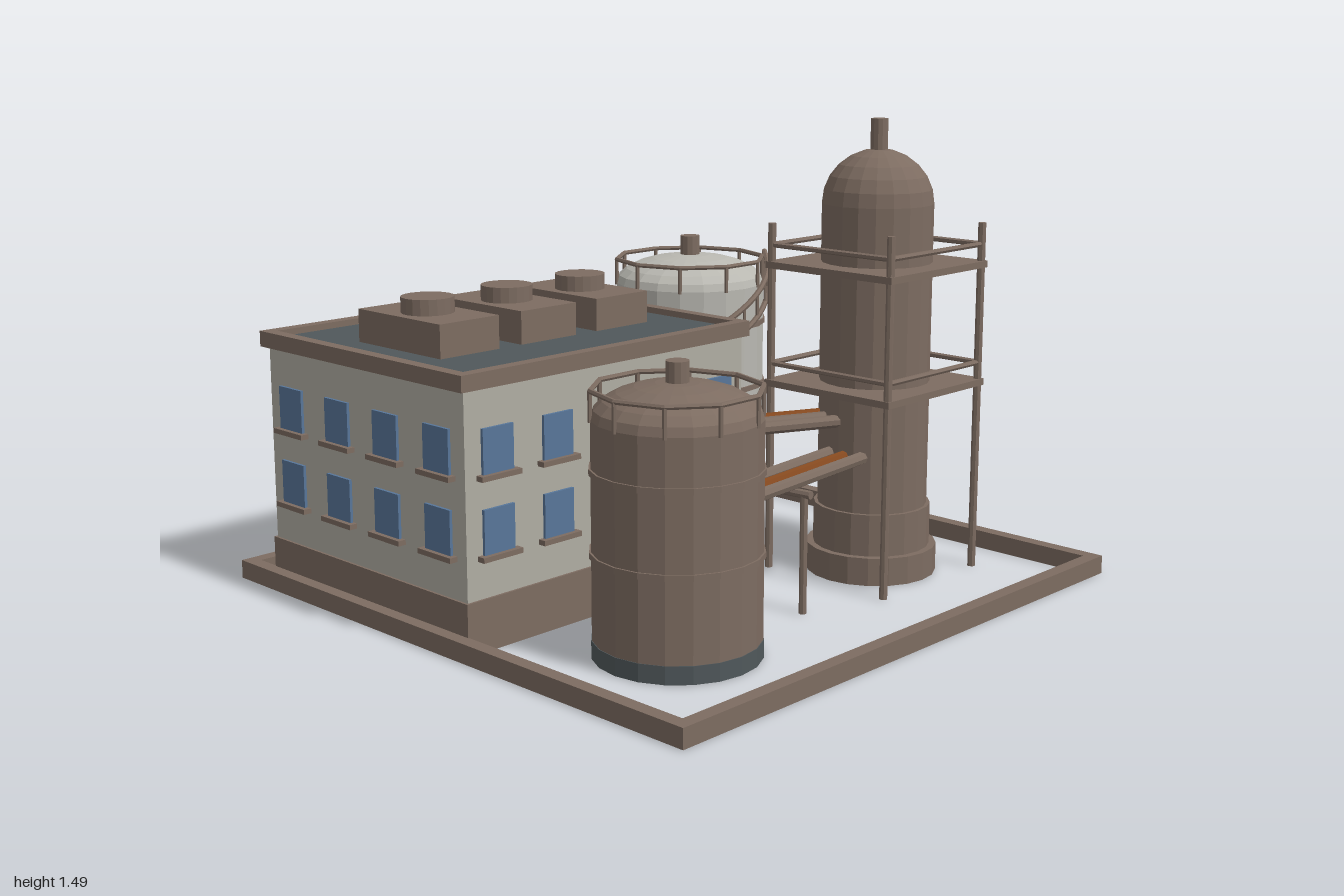
import * as THREE from 'three';

const mat = (name, color) => {
  const m = new THREE.MeshStandardMaterial({ color });
  m.name = name;
  return m;
};

export function createModel() {
  const brown = mat('brown steel', 0x7d6c61);
  const wallGrey = mat('wall grey', 0xb0ada3);
  const tankGrey = mat('tank grey', 0xb9b8b1);
  const slate = mat('dark slate', 0x50585b);
  const glass = mat('window blue', 0x587699);
  const rust = mat('rust pipe', 0x85491f);

  const model = new THREE.Group();
  model.name = 'processPlant';
  const group = (name) => {
    const g = new THREE.Group();
    g.name = name;
    model.add(g);
    return g;
  };

  // Adds a flat-shaded mesh
  const add = (parent, name, geo, material, x = 0, y = 0, z = 0) => {
    const flat = geo.index ? geo.toNonIndexed() : geo;
    flat.computeVertexNormals();
    const mesh = new THREE.Mesh(flat, material);
    mesh.name = name;
    mesh.position.set(x, y, z);
    parent.add(mesh);
    return mesh;
  };
  // Box given by its limits
  const box = (p, name, m, x0, x1, y0, y1, z0, z1) =>
    add(p, name, new THREE.BoxGeometry(x1 - x0, y1 - y0, z1 - z0), m,
      (x0 + x1) / 2, (y0 + y1) / 2, (z0 + z1) / 2);
  // Upright cylinder from y0 to y1
  const cyl = (p, name, m, r, y0, y1, x, z, sides = 20) =>
    add(p, name, new THREE.CylinderGeometry(r, r, y1 - y0, sides), m, x, (y0 + y1) / 2, z);
  // Straight round bar between two points
  const bar = (p, name, m, r, a, b, sides = 8) => {
    const A = new THREE.Vector3(...a), B = new THREE.Vector3(...b);
    const mesh = add(p, name, new THREE.CylinderGeometry(r, r, A.distanceTo(B), sides), m);
    mesh.position.copy(A).add(B).multiplyScalar(0.5);
    mesh.quaternion.setFromUnitVectors(new THREE.Vector3(0, 1, 0), B.sub(A).normalize());
    return mesh;
  };
  // Rectangular rim with an open middle
  const rim = (p, name, m, x0, x1, z0, z1, w, y0, y1) => {
    const s = new THREE.Shape([[x0, -z1], [x1, -z1], [x1, -z0], [x0, -z0]]
      .map((c) => new THREE.Vector2(...c)));
    s.holes.push(new THREE.Path([[x0 + w, -z1 + w], [x0 + w, -z0 - w], [x1 - w, -z0 - w], [x1 - w, -z1 + w]]
      .map((c) => new THREE.Vector2(...c))));
    const geo = new THREE.ExtrudeGeometry(s, { depth: y1 - y0, bevelEnabled: false });
    geo.rotateX(-Math.PI / 2);
    add(p, name, geo, m, 0, y0, 0);
  };
  const dome = (p, name, m, r, h, x, y, z) =>
    add(p, name, new THREE.SphereGeometry(r, 20, 6, 0, Math.PI * 2, 0, Math.PI / 2)
      .scale(1, h / r, 1), m, x, y, z);

  // Site kerb
  rim(group('siteKerb'), 'kerb', brown, -1, 1, -1, 1, 0.045, 0, 0.06);

  // Main building
  const building = group('building');
  const X0 = -0.95, X1 = 0.22, Z0 = -0.86, Z1 = 0.095;
  box(building, 'plinth', brown, X0 - 0.008, X1 + 0.012, 0, 0.16, Z0 - 0.008, Z1 + 0.008);
  box(building, 'walls', wallGrey, X0, X1, 0.16, 0.79, Z0, Z1);
  rim(building, 'parapet', brown, X0 - 0.02, X1 + 0.02, Z0 - 0.022, Z1 + 0.017, 0.04, 0.785, 0.835);
  box(building, 'roof', slate, X0 + 0.01, X1 - 0.01, 0.787, 0.815, Z0 + 0.01, Z1 - 0.01);

  // Windows and sills, built facing +z and turned to each wall
  const cx = (X0 + X1) / 2, cz = (Z0 + Z1) / 2;
  const wall = (count, spacing, dist, angle) => {
    const side = new THREE.Group();
    side.name = 'windowWall';
    side.position.set(cx, 0, cz);
    side.rotation.y = angle;
    building.add(side);
    for (const y of [0.36, 0.6]) {
      for (let i = 0; i < count; i++) {
        const x = (i - (count - 1) / 2) * spacing;
        box(side, 'window', glass, x - 0.058, x + 0.058, y - 0.068, y + 0.068, dist + 0.002, dist + 0.0115);
        box(side, 'sill', brown, x - 0.075, x + 0.075, y - 0.084, y - 0.068, dist - 0.005, dist + 0.027);
      }
    }
  };
  for (const turn of [0, Math.PI]) {
    wall(5, 0.234, (Z1 - Z0) / 2, turn);
    wall(4, 0.24, (X1 - X0) / 2, turn + Math.PI / 2);
  }

  // Roof ventilation units
  for (const x of [-0.685, -0.365, -0.045]) {
    box(building, 'ventUnit', brown, x - 0.115, x + 0.115, 0.81, 0.92, -0.59, -0.19);
    cyl(building, 'ventFan', brown, 0.083, 0.92, 0.97, x, -0.39);
  }

  // Storage tanks
  const tank = (name, m, x, z, r, top, domeH, capTop, bands) => {
    const t = group(name);
    cyl(t, 'tankFoot', slate, r + 0.002, 0, 0.055, x, z);
    cyl(t, 'tankShell', m, r, 0.055, top, x, z);
    dome(t, 'tankDome', m, r, domeH, x, top, z);
    cyl(t, 'tankCap', brown, 0.035, top + domeH - 0.02, capTop, x, z, 12);
    for (const y of bands) cyl(t, 'tankBand', brown, r + 0.006, y - 0.009, y + 0.009, x, z);
    const rail = new THREE.TorusGeometry(r, 0.008, 6, 10).rotateX(Math.PI / 2);
    add(t, 'tankRail', rail, brown, x, top + 0.085, z);
    for (let i = 0; i < 10; i++) {
      const a = i * Math.PI / 5;
      cyl(t, 'railPost', brown, 0.007, top - 0.005, top + 0.085,
        x + r * Math.cos(a), z + r * Math.sin(a), 6);
    }
    return t;
  };
  tank('frontTank', brown, -0.512, 0.51, 0.25, 0.705, 0.105, 0.87, [0.31, 0.555]);
  const rearTank = tank('rearTank', tankGrey, 0.57, -0.47, 0.265, 0.865, 0.1, 1.03, [0.28, 0.505, 0.73]);

  // Spiral stair around the rear tank
  const stairPoint = (t, lift) => {
    const a = -0.38 - t * 5.35;
    return new THREE.Vector3(0.57 + 0.278 * Math.cos(a), 0.07 + t * 0.81 + lift, -0.47 + 0.278 * Math.sin(a));
  };
  for (const [name, lift] of [['stairStringer', 0], ['stairHandrail', 0.085]]) {
    const pts = Array.from({ length: 33 }, (_, i) => stairPoint(i / 32, lift));
    add(rearTank, name, new THREE.TubeGeometry(new THREE.CatmullRomCurve3(pts), 64, 0.01, 6), brown);
  }
  for (let i = 0; i <= 20; i++) {
    const p = stairPoint(i / 20, 0);
    cyl(rearTank, 'stairPost', brown, 0.006, p.y, p.y + 0.085, p.x, p.z, 6);
  }

  // Column tower
  const tower = group('tower');
  const tx = 0.53, tz = 0.402;
  cyl(tower, 'towerFoot', brown, 0.215, 0, 0.092, tx, tz);
  cyl(tower, 'towerSkirt', brown, 0.192, 0.09, 0.23, tx, tz);
  cyl(tower, 'towerShell', brown, 0.18, 0.23, 1.22, tx, tz);
  dome(tower, 'towerDome', brown, 0.18, 0.175, tx, 1.22, tz);
  cyl(tower, 'towerVent', brown, 0.028, 1.37, 1.49, tx, tz, 12);
  const downPath = new THREE.CurvePath();
  const downPts = [[0.64, 1.295], [0.705, 1.295], [0.728, 1.272], [0.728, 0.27]]
    .map(([x, y]) => new THREE.Vector3(x, y, tz));
  for (let i = 0; i < 3; i++) downPath.add(new THREE.LineCurve3(downPts[i], downPts[i + 1]));
  add(tower, 'downPipe', new THREE.TubeGeometry(downPath, 60, 0.02, 8), brown);
  bar(tower, 'downPipeFoot', brown, 0.02, [0.66, 0.29, tz], [0.73, 0.29, tz]);

  // Access platforms, posts and guard rails
  const h = 0.24;
  for (const y of [0.63, 1.02]) {
    box(tower, 'platform', brown, tx - 0.255, tx + 0.255, y - 0.011, y + 0.011, tz - 0.255, tz + 0.255);
    for (const s of [-1, 1]) {
      bar(tower, 'guardRail', brown, 0.009, [tx - h, y + 0.065, tz + s * h], [tx + h, y + 0.065, tz + s * h], 6);
      bar(tower, 'guardRail', brown, 0.009, [tx + s * h, y + 0.065, tz - h], [tx + s * h, y + 0.065, tz + h], 6);
    }
  }
  for (const sx of [-1, 1]) for (const sz of [-1, 1])
    cyl(tower, 'towerPost', brown, 0.013, 0, 1.155, tx + sx * h, tz + sz * h, 8);

  // Pipe run of three pipes with a two-legged stand at point t along it
  const pipeRun = (name, ax, az, y, rustAt, t) => {
    const g = group(name);
    const len = Math.hypot(tx - ax, tz - az);
    const nx = -(tz - az) / len, nz = (tx - ax) / len;
    [-0.06, 0, 0.06].forEach((o, i) => bar(g, 'pipe', i === rustAt ? rust : brown, i === rustAt ? 0.018 : 0.021,
      [ax + nx * o, y, az + nz * o], [tx + nx * o, y, tz + nz * o]));
    const mx = ax + (tx - ax) * t, mz = az + (tz - az) * t;
    bar(g, 'standBeam', brown, 0.014, [mx - nx * 0.115, y - 0.033, mz - nz * 0.115],
      [mx + nx * 0.115, y - 0.033, mz + nz * 0.115]);
    for (const s of [-0.09, 0.09])
      cyl(g, 'standLeg', brown, 0.012, 0, y - 0.03, mx + nx * s, mz + nz * s, 8);
  };
  pipeRun('tankPipes', -0.512, 0.51, 0.415, 1, 0.49);
  pipeRun('buildingPipes', -0.36, 0.0, 0.525, 0, 0.49);

  return model;
}
